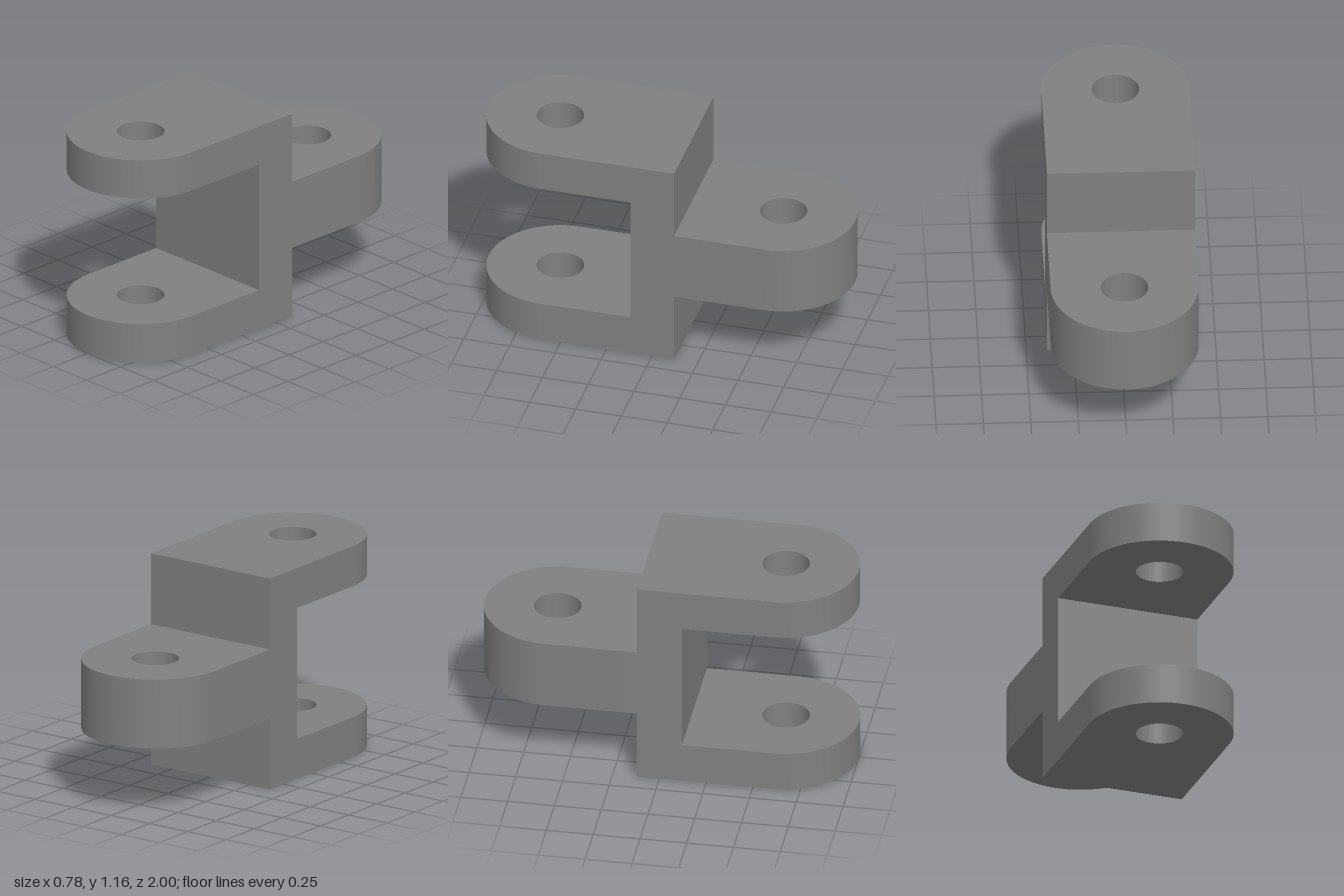
import * as THREE from 'three';
import { toCreasedNormals } from 'three/addons/utils/BufferGeometryUtils.js';

const HALF_WIDTH = 0.39;
const HEIGHT = 1.16;
const WEB_HALF_DEPTH = 0.12;
const HOLE_Z = 0.61;
const HOLE_RADIUS = 0.125;

// Round-ended lug with a pin hole, reaching towards +z from the web
function lugGeometry(bottom, top) {
  const shape = new THREE.Shape();
  shape.moveTo(-HALF_WIDTH, WEB_HALF_DEPTH);
  shape.lineTo(HALF_WIDTH, WEB_HALF_DEPTH);
  shape.lineTo(HALF_WIDTH, HOLE_Z);
  shape.absarc(0, HOLE_Z, HALF_WIDTH, 0, Math.PI, false);
  shape.closePath();

  const hole = new THREE.Path();
  hole.absarc(0, HOLE_Z, HOLE_RADIUS, 0, Math.PI * 2, true);
  shape.holes.push(hole);

  const geometry = new THREE.ExtrudeGeometry(shape, {
    depth: top - bottom, bevelEnabled: false, curveSegments: 40,
  });
  // Lay the outline flat: its second axis becomes z, the extrusion runs down
  geometry.rotateX(Math.PI / 2);
  geometry.translate(0, top, 0);
  return toCreasedNormals(geometry, 0.5);
}

export function createModel() {
  const group = new THREE.Group();
  group.name = 'clevisLink';

  const metal = new THREE.MeshStandardMaterial({ color: 0x808080 });
  metal.name = 'grey metal';

  const add = (name, geometry) => {
    const mesh = new THREE.Mesh(geometry, metal);
    mesh.name = name;
    group.add(mesh);
    return mesh;
  };

  // Upright web joining the lugs
  const web = new THREE.BoxGeometry(HALF_WIDTH * 2, HEIGHT, WEB_HALF_DEPTH * 2);
  add('web', web.translate(0, HEIGHT / 2, 0));

  // Fork of two thin lugs at the front
  add('lowerForkLug', lugGeometry(0, 0.22));
  add('upperForkLug', lugGeometry(0.94, HEIGHT));

  // Single thick lug at the back
  add('rearLug', lugGeometry(0.39, 0.77)).rotation.y = Math.PI;

  return group;
}
